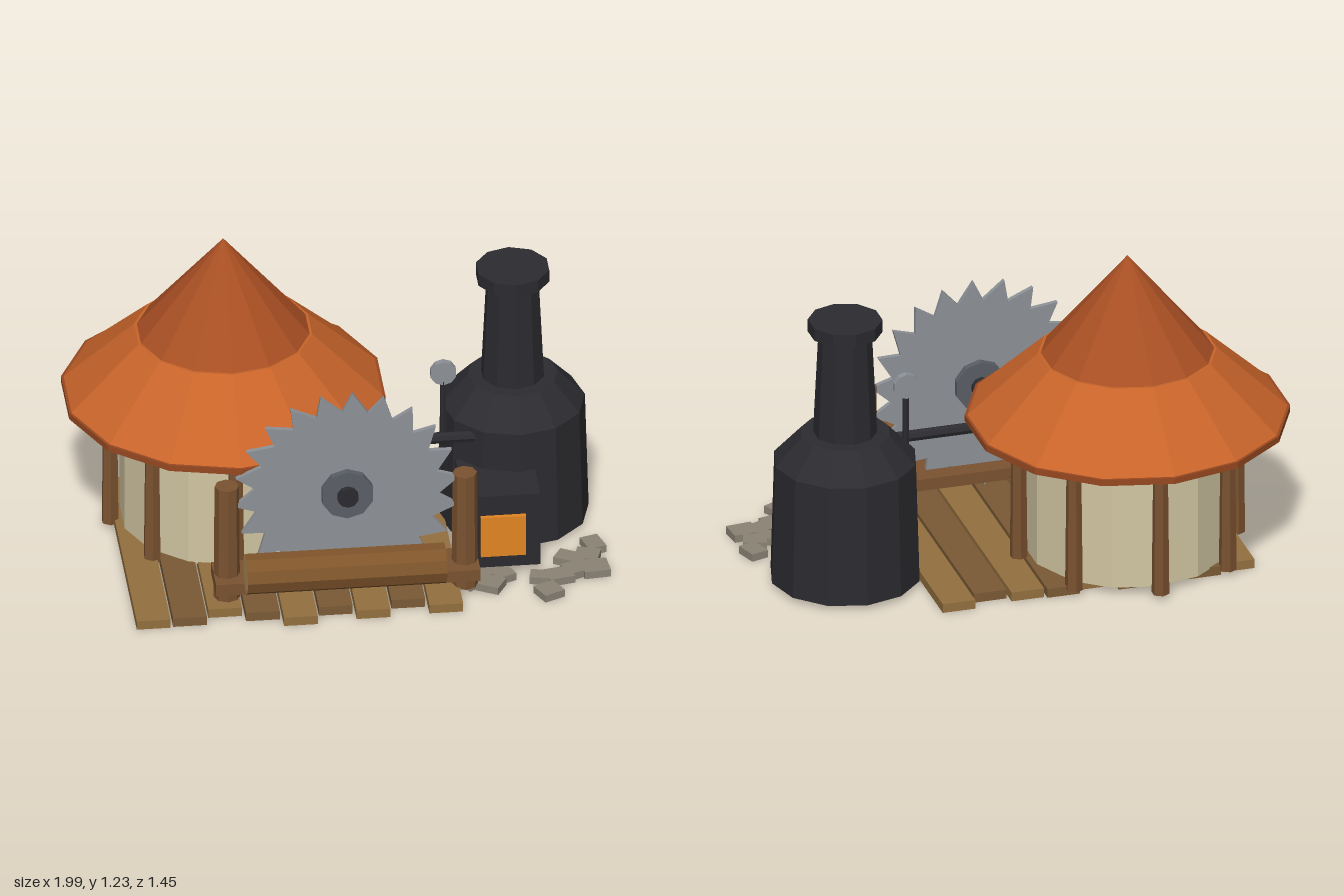
import * as THREE from 'three';

const mat = (color) => new THREE.MeshStandardMaterial({ color, flatShading: true });

export function createModel() {
  const model = new THREE.Group();
  const wood = mat(0x7a5230), plankLight = mat(0x93703f), plankDark = mat(0x7b5a35);
  const iron = mat(0x2b2b30), steel = mat(0x8d9298), darkSteel = mat(0x5a5e65);
  const roofLow = mat(0xc8642a), roofTop = mat(0xa94f23), eave = mat(0x974820);
  const plaster = mat(0xd2c6a2), stone = mat(0x8a8275), fire = mat(0xe28522);
  const bark = mat(0x7f552b), cutWood = mat(0xbd975d);

  const add = (name, geo, material, x, y, z, parent = model) => {
    const m = new THREE.Mesh(geo, material);
    m.name = name;
    m.position.set(x, y, z);
    parent.add(m);
    return m;
  };
  const group = (name, x = 0, y = 0, z = 0) => {
    const g = new THREE.Group();
    g.name = name;
    g.position.set(x, y, z);
    model.add(g);
    return g;
  };
  // Tapered drum standing between two heights
  const drum = (name, rTop, rBottom, y0, y1, sides, material, parent, x = 0, z = 0) =>
    add(name, new THREE.CylinderGeometry(rTop, rBottom, y1 - y0, sides), material, x, (y0 + y1) / 2, z, parent);
  const box = (name, x0, x1, y0, y1, z0, z1, material, parent) =>
    add(name, new THREE.BoxGeometry(x1 - x0, y1 - y0, z1 - z0), material,
      (x0 + x1) / 2, (y0 + y1) / 2, (z0 + z1) / 2, parent);

  // Plank floor with uneven ends
  const floor = group('floor');
  const ends = [[-0.4, 0.645], [-0.42, 0.64], [-0.38, 0.59], [-0.43, 0.63], [-0.39, 0.68],
    [-0.42, 0.62], [-0.41, 0.66], [-0.38, 0.6], [-0.43, 0.65]];
  ends.forEach(([back, front], i) => {
    const x = -0.81 + i * 0.1375;
    box('plank', x, x + 0.127, 0, 0.036, back, front, i % 2 ? plankDark : plankLight, floor);
  });

  // Round hut: wall, eight posts, two-tier roof
  const hut = group('hut', -0.4, 0, -0.115);
  drum('wall', 0.39, 0.39, 0.03, 0.57, 14, plaster, hut);
  for (let i = 0; i < 8; i++) {
    const a = (i * Math.PI) / 4;
    drum('hutPost', 0.028, 0.034, 0.02, 0.57, 6, wood, hut, Math.sin(a) * 0.425, Math.cos(a) * 0.425);
  }
  drum('eave', 0.61, 0.61, 0.557, 0.582, 14, eave, hut);
  drum('lowerRoof', 0.335, 0.6, 0.582, 0.83, 14, roofLow, hut);
  const cone = new THREE.ConeGeometry(0.325, 0.395, 14);
  add('upperRoof', cone, roofTop, 0, 1.0275, 0, hut);

  // Circular saw: toothed disc, flange and axle
  const saw = group('saw', -0.005, 0.467, 0.5);
  const teeth = 22, pitch = (Math.PI * 2) / teeth, disc = new THREE.Shape();
  for (let i = 0; i < teeth; i++) {
    const tip = 1.52 - i * pitch, root = tip - pitch * 0.65;
    const p = [0.425 * Math.cos(tip), 0.425 * Math.sin(tip)];
    if (i) disc.lineTo(...p); else disc.moveTo(...p);
    disc.lineTo(0.345 * Math.cos(root), 0.345 * Math.sin(root));
  }
  disc.closePath();
  const blade = new THREE.ExtrudeGeometry(disc, { depth: 0.02, bevelEnabled: false });
  add('blade', blade, steel, 0, 0, -0.01, saw);
  [['flange', 0.1, 0.075, darkSteel], ['axle', 0.04, 0.12, iron]].forEach(([name, r, depth, m]) => {
    add(name, new THREE.CylinderGeometry(r, r, depth, 10), m, 0, 0, 0, saw).rotation.x = Math.PI / 2;
  });

  // Saw frame: two uprights and a cross board
  const frame = group('sawFrame');
  for (const x of [-0.455, 0.44]) drum('upright', 0.046, 0.05, 0.03, 0.515, 8, wood, frame, x, 0.497);
  box('crossBoard', -0.505, 0.49, 0.09, 0.137, 0.415, 0.585, wood, frame);

  // Log lying in front of the blade, with pale cut ends
  const log = add('log', new THREE.CylinderGeometry(0.078, 0.078, 0.75, 10), [bark, cutWood, cutWood],
    -0.025, 0.213, 0.642);
  log.rotation.z = Math.PI / 2;

  // Boiler with shoulder, chimney and cap
  const boiler = group('boiler', 0.68, 0, -0.04);
  drum('tank', 0.272, 0.286, 0.02, 0.5, 12, iron, boiler);
  drum('shoulder', 0.17, 0.272, 0.5, 0.61, 12, iron, boiler);
  drum('chimney', 0.1, 0.12, 0.61, 1.025, 10, iron, boiler);
  drum('chimneyCap', 0.14, 0.14, 1.025, 1.075, 10, iron, boiler);

  // Firebox with glowing door
  box('firebox', 0.447, 0.735, 0.035, 0.343, 0.12, 0.4, iron);
  box('fireDoor', 0.51, 0.68, 0.09, 0.26, 0.39, 0.417, fire);

  // Steam pipe and pressure gauge
  const pipe = add('steamPipe', new THREE.CylinderGeometry(0.022, 0.022, 0.45, 8), iron, 0.325, 0.46, 0.15);
  pipe.rotation.z = Math.PI / 2;
  drum('gaugeStem', 0.012, 0.012, 0.45, 0.67, 6, iron, model, 0.405, 0.085);
  const gauge = add('gauge', new THREE.CylinderGeometry(0.05, 0.05, 0.025, 10), steel, 0.405, 0.705, 0.083);
  gauge.rotation.x = Math.PI / 2;

  // Flat paving stones: x, z, width, depth, turn
  const paving = group('paving');
  [[0.95, 0.25, 0.07, 0.09, 0.3], [0.92, 0.33, 0.09, 0.08, -0.3], [0.85, 0.34, 0.1, 0.07, -0.5],
    [0.94, 0.42, 0.1, 0.09, 0.1], [0.87, 0.42, 0.1, 0.08, 0.4], [0.8, 0.46, 0.1, 0.08, 0.2],
    [0.73, 0.46, 0.08, 0.06, -0.2], [0.75, 0.565, 0.085, 0.085, 0.45],
    [0.59, 0.43, 0.08, 0.07, 0.4], [0.54, 0.49, 0.09, 0.08, -0.5], [0.53, 0.4, 0.1, 0.09, 0.2],
    [0.47, 0.45, 0.09, 0.09, 0.6], [0.56, 0.31, 0.1, 0.09, -0.3], [0.48, 0.32, 0.09, 0.1, 0.3],
    [0.45, 0.23, 0.07, 0.09, -0.4], [0.52, 0.21, 0.09, 0.09, 0.2],
  ].forEach(([x, z, w, d, turn]) => {
    add('stone', new THREE.BoxGeometry(w, 0.03, d), stone, x, 0.015, z, paving).rotation.y = turn;
  });

  return model;
}
